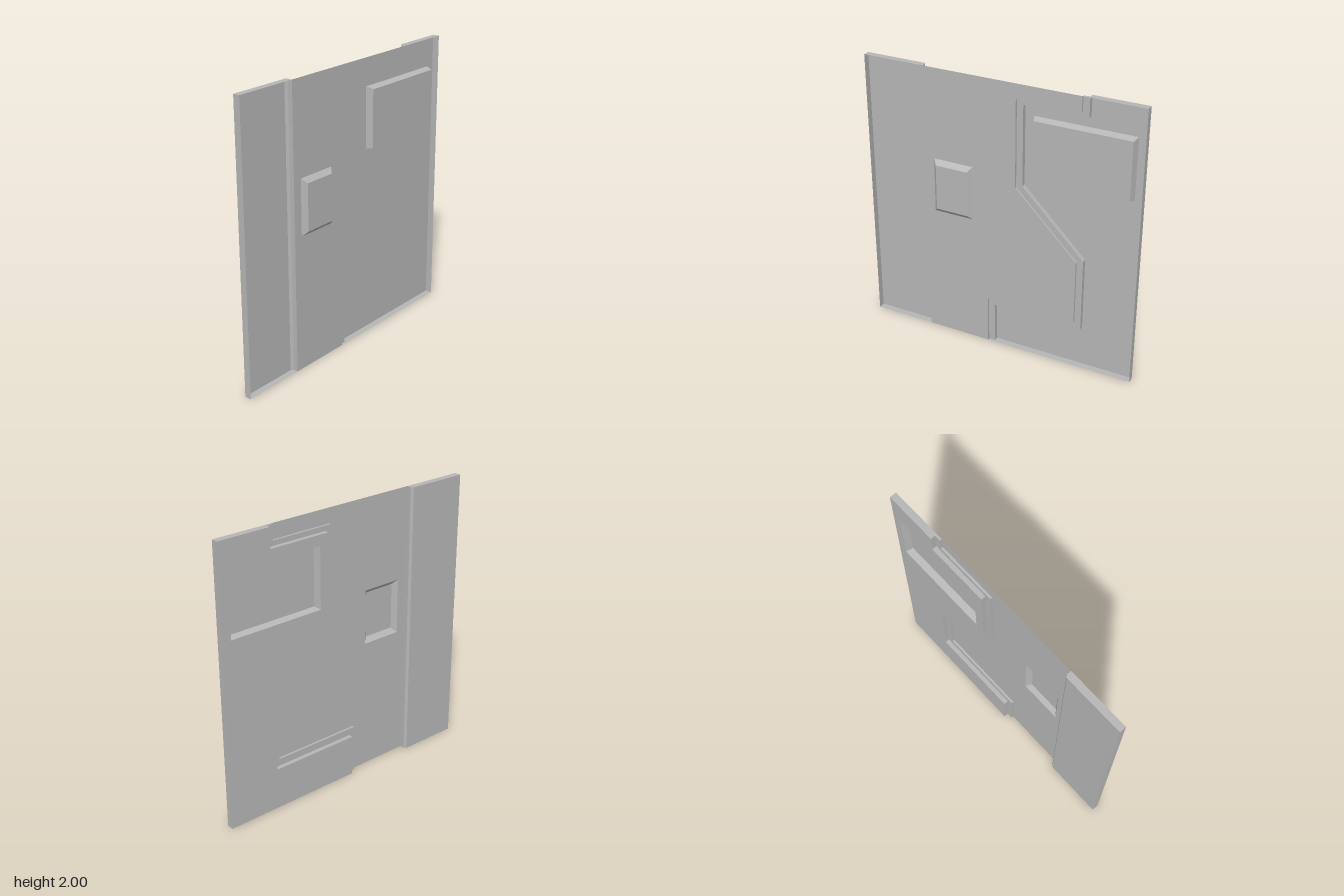
import * as THREE from 'three';

const FRONT = 0.008, LEDGE = -0.008, BACK = -0.04, BUMP = 0.04;

const panelGrey = new THREE.MeshStandardMaterial({ color: 0xb6b6b6, flatShading: true, side: THREE.DoubleSide });
panelGrey.name = 'panelGrey';

const vec = ([x, y]) => new THREE.Vector2(x, y);
const rect = (x0, y0, x1, y1) => [[x0, y0], [x1, y0], [x1, y1], [x0, y1]];

export function createModel() {
  const group = new THREE.Group();
  group.name = 'wallPanel';

  const add = (name, geometry) => {
    const mesh = new THREE.Mesh(geometry, panelGrey);
    mesh.name = name;
    group.add(mesh);
    return mesh;
  };

  // Flat sheet facing forward at depth z, with an optional hole
  const sheet = (name, outline, z, hole) => {
    const shape = new THREE.Shape(outline.map(vec));
    if (hole) shape.holes.push(new THREE.Path(hole.map(vec)));
    add(name, new THREE.ShapeGeometry(shape).translate(0, 0, z));
  };

  // Band of flat quads between path a at depth za and path b at depth zb
  const band = (name, a, za, b, zb, closed = false) => {
    const pos = [];
    const count = closed ? a.length : a.length - 1;
    for (let i = 0; i < count; i++) {
      const j = (i + 1) % a.length;
      const a0 = [...a[i], za], a1 = [...a[j], za], b0 = [...b[i], zb], b1 = [...b[j], zb];
      pos.push(...a0, ...a1, ...b1, ...a0, ...b1, ...b0);
    }
    const g = new THREE.BufferGeometry();
    g.setAttribute('position', new THREE.Float32BufferAttribute(pos, 3));
    g.computeVertexNormals();
    add(name, g);
  };

  // Horizontal rim closing a recess at height y; outline given as (x, z)
  const rim = (name, outline, y) => {
    const g = new THREE.ShapeGeometry(new THREE.Shape(outline.map(([x, z]) => new THREE.Vector2(x, -z))));
    g.rotateX(y > 1 ? -Math.PI / 2 : Math.PI / 2);
    if (y <= 1) g.scale(1, 1, -1).index.array.reverse();
    g.computeVertexNormals();
    add(name, g.translate(0, y, 0));
  };

  // Stepped seam, top to bottom: upper edge and lower edge
  const upper = [[0.575, 2], [0.575, 1.895], [0.125, 1.895], [0.125, 1.27],
    [0.575, 0.82], [0.575, 0.35], [-0.08, 0.35], [-0.08, 0]];
  const lower = [[0.62, 2], [0.62, 1.86], [0.17, 1.86], [0.17, 1.285],
    [0.62, 0.835], [0.62, 0.3], [-0.035, 0.3], [-0.035, 0]];

  // Raised blocks, hollow behind
  const smallBase = rect(-0.485, 0.955, -0.19, 1.35);
  const smallTop = rect(-0.455, 0.988, -0.22, 1.317);
  const largeBase = rect(0.235, 1.35, 0.935, 1.785);
  const largeTop = rect(0.25, 1.362, 0.92, 1.77);

  // Middle sheet and small block
  sheet('middleSheet', [[-0.55, 2], [-0.55, 0], ...[...upper].reverse()], FRONT, smallBase);
  band('smallBlockSides', smallBase, FRONT, smallTop, BUMP, true);
  sheet('smallBlockFace', smallTop, BUMP);

  // Two-step seam
  band('seamUpperStep', upper, FRONT, upper, LEDGE);
  band('seamLedge', upper, LEDGE, lower, LEDGE);
  band('seamLowerStep', lower, LEDGE, lower, BACK);

  // Recessed sheet and large block on the +x side
  sheet('recessedSheet', [...lower, [1, 0], [1, 2]], BACK, largeBase);
  band('largeBlockSides', largeBase, BACK, largeTop, FRONT, true);
  sheet('largeBlockFace', largeTop, FRONT);

  // Recessed strip on the -x side with a chamfered step
  sheet('sideStrip', rect(-1, 0, -0.565, 2), BACK);
  const line = (x) => [[x, 0], [x, 2]];
  band('sideStripStep', line(-0.55), FRONT, line(-0.55), BACK + 0.015);
  band('sideStripChamfer', line(-0.55), BACK + 0.015, line(-0.565), BACK);

  // Outer rims
  band('sideRim', line(-1), BACK, line(-1), FRONT);
  band('sideRim', line(1), FRONT, line(1), BACK);
  for (const [y, i] of [[2, 0], [0, upper.length - 1]]) {
    const xu = upper[i][0], xl = lower[i][0];
    rim('stripRim', [[-1, FRONT], [-0.55, FRONT], [-0.55, BACK + 0.015], [-0.565, BACK], [-1, BACK]], y);
    rim('recessRim', [[xu, FRONT], [1, FRONT], [1, BACK], [xl, BACK], [xl, LEDGE], [xu, LEDGE]], y);
  }
  return group;
}
